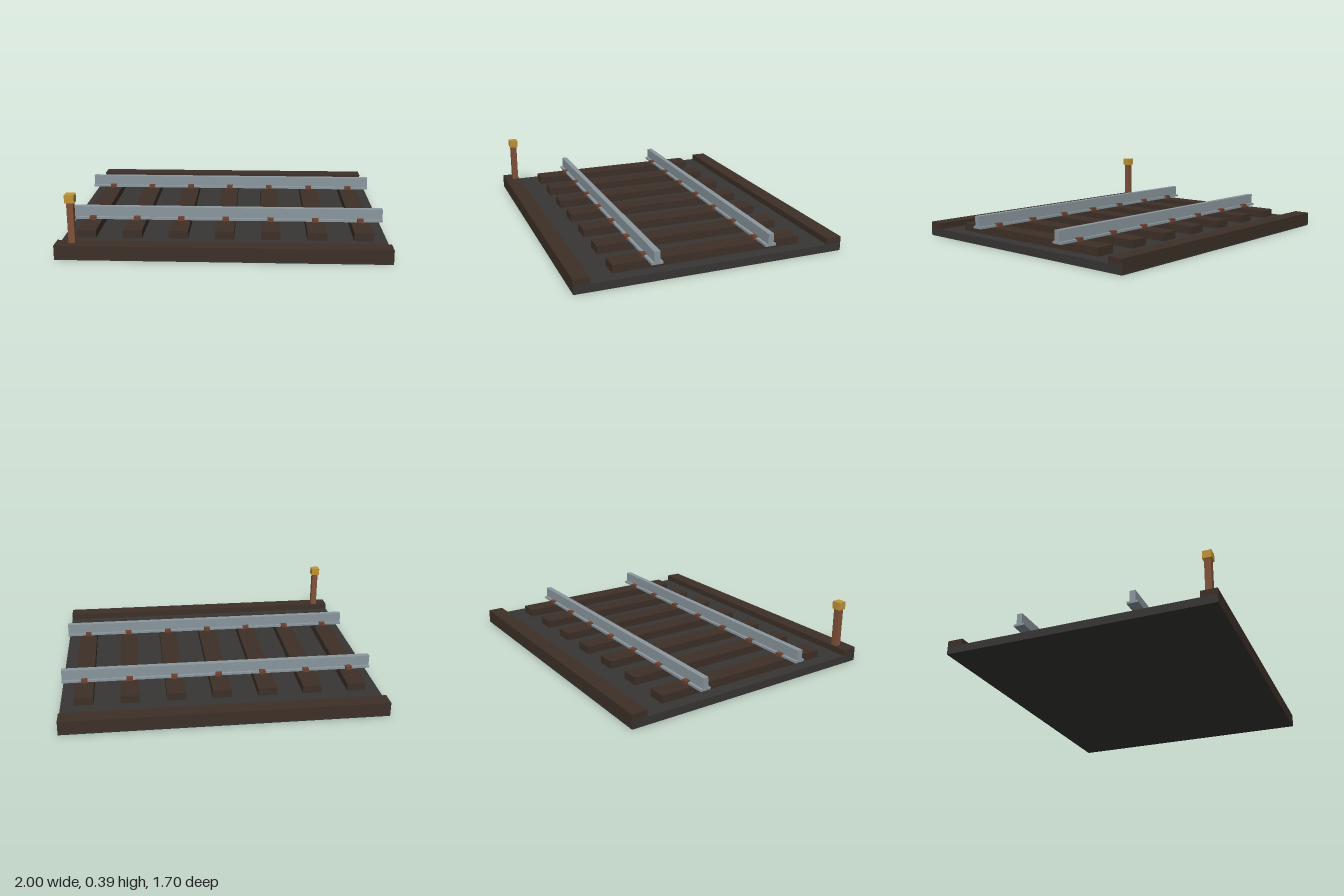
import * as THREE from 'three';

const material = (color) => new THREE.MeshStandardMaterial({ color, flatShading: true });
const gravel = material(0x383634);
const wood = material(0x3d3028);
const steel = material(0x8a979e);
const rust = material(0x6e4230);
const postWood = material(0x80523a);
const brass = material(0xc09438);

// Box given by its size, its centre in x and z, and the height of its underside
function box(parent, name, mat, [w, h, d], x, bottom, z) {
  const mesh = new THREE.Mesh(new THREE.BoxGeometry(w, h, d), mat);
  mesh.name = name;
  mesh.position.set(x, bottom + h / 2, z);
  parent.add(mesh);
  return mesh;
}

// Rail cross-section: wide thin foot with an upright web, swept along x
function railGeometry(length) {
  const foot = 0.035, web = 0.0175, y0 = 0.1, y1 = 0.114, y2 = 0.18;
  const half = [[foot, y0], [foot, y1], [web, y1], [web, y2]];
  const mirrored = half.map(([x, y]) => [-x, y]).reverse();
  const shape = new THREE.Shape([...half, ...mirrored].map(([x, y]) => new THREE.Vector2(x, y)));
  const geometry = new THREE.ExtrudeGeometry(shape, { depth: length, bevelEnabled: false });
  return geometry.translate(0, 0, -length / 2).rotateY(Math.PI / 2);
}

export function createModel() {
  const model = new THREE.Group();
  model.name = 'railwayTrack';

  // Ballast bed, slightly inside the outer faces of the edge beams
  box(model, 'ballastBed', gravel, [2, 0.05, 1.698], 0, 0, 0);

  // Edge beams along both sides
  for (const side of [1, -1]) {
    box(model, side > 0 ? 'frontEdgeBeam' : 'backEdgeBeam', wood, [1.998, 0.08, 0.1], 0, 0.01, side * 0.8);
  }

  // Rails
  const railShape = railGeometry(2);
  for (const side of [1, -1]) {
    const rail = new THREE.Mesh(railShape, steel);
    rail.name = side > 0 ? 'frontRail' : 'backRail';
    rail.position.z = side * 0.36;
    model.add(rail);
  }

  // Sleepers, each with a pair of spikes clamping either rail
  for (let i = -3; i <= 3; i++) {
    const x = (i * 2) / 7;
    const sleeper = new THREE.Group();
    sleeper.name = 'sleeper';
    box(sleeper, 'sleeperBeam', wood, [0.12, 0.055, 1.2], x, 0.045, 0);
    for (const railZ of [0.36, -0.36]) {
      for (const edge of [0.035, -0.035]) {
        box(sleeper, 'railSpike', rust, [0.04, 0.025, 0.03], x, 0.097, railZ + edge);
      }
    }
    model.add(sleeper);
  }

  // Marker post with a lamp on top
  const marker = new THREE.Group();
  marker.name = 'markerPost';
  box(marker, 'post', postWood, [0.04, 0.27, 0.04], -0.9, 0.08, 0.778);
  box(marker, 'lamp', brass, [0.058, 0.05, 0.055], -0.9, 0.338, 0.778);
  model.add(marker);

  return model;
}
